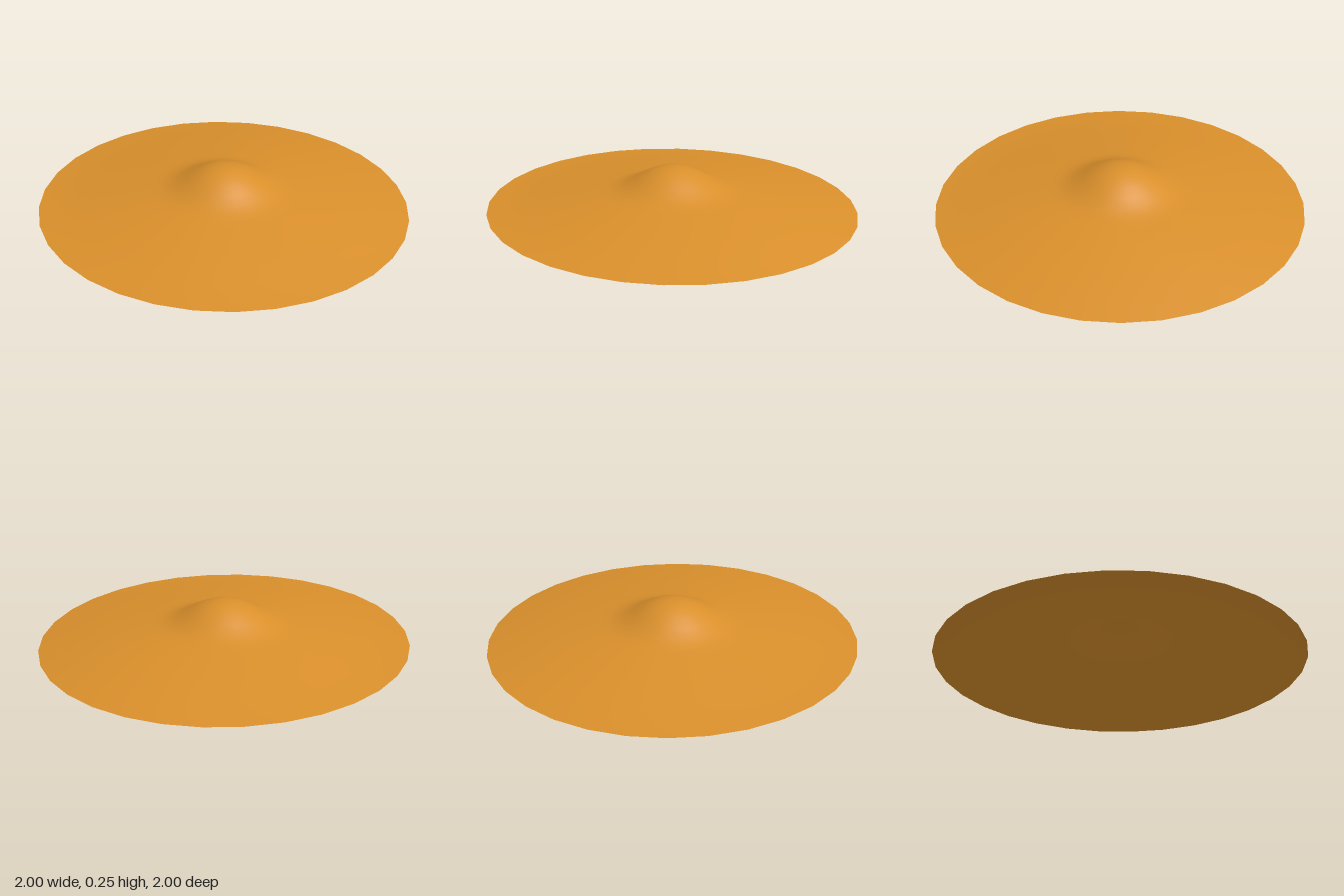
import * as THREE from 'three';
import { mergeVertices } from 'three/addons/utils/BufferGeometryUtils.js';

// Profile from rim to peak: [radius, height]
const PROFILE = [
  [1, 0.0175], [0.9, 0.033], [0.8, 0.051], [0.7, 0.069], [0.6, 0.086], [0.5, 0.102],
  [0.4, 0.118], [0.35, 0.125], [0.3, 0.137], [0.25, 0.157], [0.2, 0.185], [0.15, 0.213],
  [0.1, 0.235], [0.05, 0.247], [0, 0.25],
];

export function createModel() {
  const group = new THREE.Group();
  group.name = 'wideBrimHat';

  // Open, thin shell turned around the vertical axis
  let shell = new THREE.LatheGeometry(PROFILE.map(([r, y]) => new THREE.Vector2(r, y)), 32);

  // Lift the brim at the front and dip it at the back, fading out towards the crown
  const pos = shell.attributes.position;
  for (let i = 0; i < pos.count; i++) {
    const x = pos.getX(i), z = pos.getZ(i);
    const fade = Math.hypot(x, z) ** 5;
    pos.setY(i, Math.max(0, pos.getY(i) + (0.0175 * z - 0.0025 * x) * fade));
  }

  // Weld the seam and the peak so that the shading is smooth all round
  shell.deleteAttribute('uv');
  shell.deleteAttribute('normal');
  shell = mergeVertices(shell, 1e-4);
  shell.computeVertexNormals();

  const material = new THREE.MeshStandardMaterial({ color: 0xd98f2b, side: THREE.DoubleSide });
  const mesh = new THREE.Mesh(shell, material);
  mesh.name = 'crownAndBrim';
  group.add(mesh);
  return group;
}
